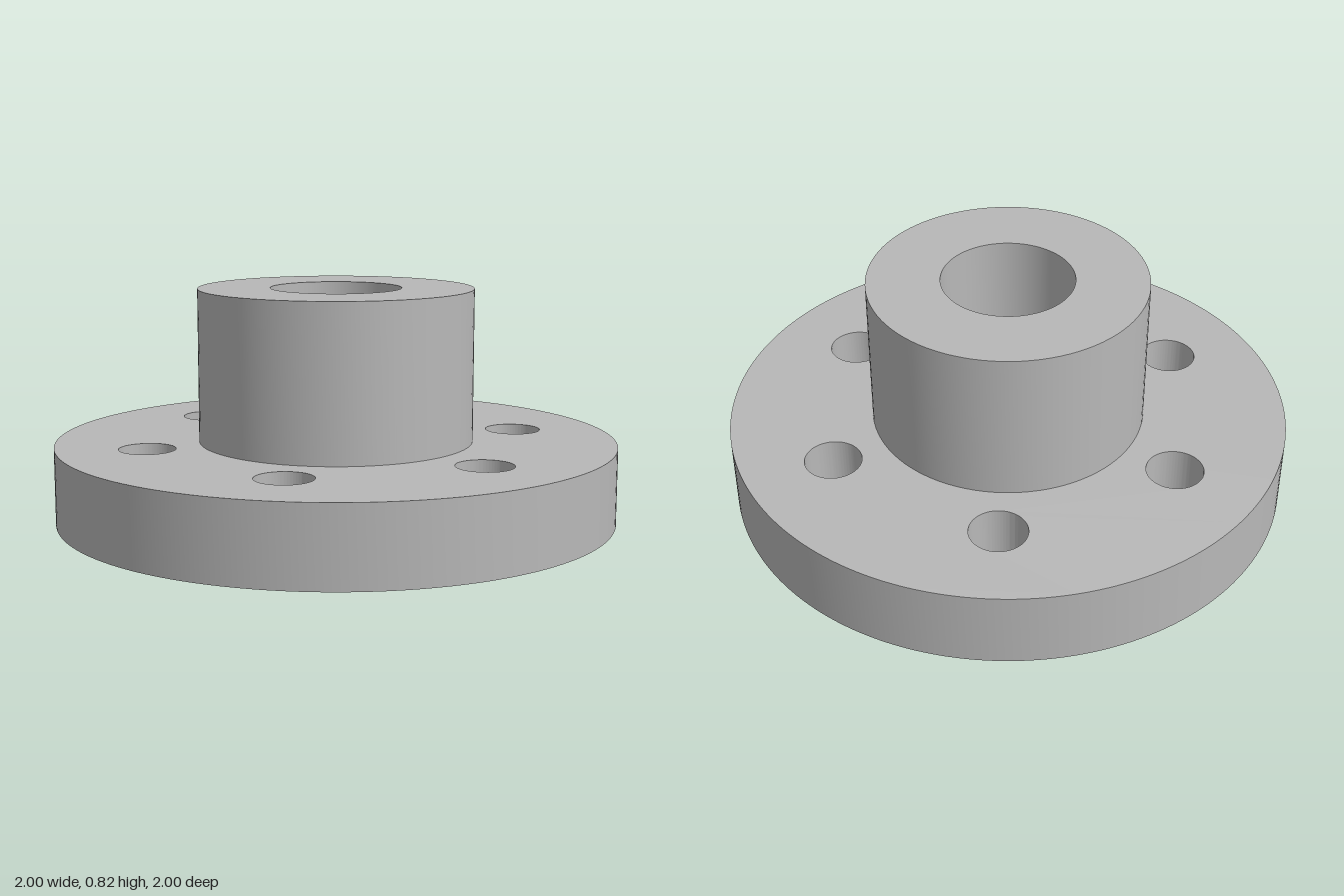
import * as THREE from 'three';
import { toCreasedNormals } from 'three/addons/utils/BufferGeometryUtils.js';

const FLANGE_RADIUS = 1, FLANGE_HEIGHT = 0.275;
const HUB_RADIUS = 0.49, HUB_TOP = 0.82, BORE_RADIUS = 0.233;
const BOLT_COUNT = 6, BOLT_CIRCLE = 0.683, BOLT_RADIUS = 0.1;
const BOLT_START = THREE.MathUtils.degToRad(26);
const SEGMENTS = 96;
const CREASE = Math.PI / 6;

const circle = (Type, x, y, r) => new Type().absarc(x, y, r, 0, Math.PI * 2, false);

export function createModel() {
  const group = new THREE.Group();
  group.name = 'boltedFlange';

  const steel = new THREE.MeshStandardMaterial({ color: 0xb8b8b8 });
  steel.name = 'grey steel';

  // Flange disc with the central bore and a ring of bolt holes
  const disc = circle(THREE.Shape, 0, 0, FLANGE_RADIUS);
  disc.holes.push(circle(THREE.Path, 0, 0, BORE_RADIUS));
  for (let i = 0; i < BOLT_COUNT; i++) {
    const a = BOLT_START + (i / BOLT_COUNT) * Math.PI * 2;
    disc.holes.push(circle(THREE.Path, BOLT_CIRCLE * Math.cos(a), BOLT_CIRCLE * Math.sin(a), BOLT_RADIUS));
  }
  const discGeometry = new THREE.ExtrudeGeometry(disc, {
    depth: FLANGE_HEIGHT, bevelEnabled: false, curveSegments: SEGMENTS,
  });
  discGeometry.rotateX(-Math.PI / 2);
  const flange = new THREE.Mesh(toCreasedNormals(discGeometry, CREASE), steel);
  flange.name = 'flange';
  group.add(flange);

  // Hub sleeve: outer wall, top ring and bore wall
  const profile = [
    [HUB_RADIUS, FLANGE_HEIGHT], [HUB_RADIUS, HUB_TOP],
    [BORE_RADIUS, HUB_TOP], [BORE_RADIUS, FLANGE_HEIGHT],
  ].map(([r, y]) => new THREE.Vector2(r, y));
  const hub = new THREE.Mesh(toCreasedNormals(new THREE.LatheGeometry(profile, SEGMENTS), CREASE), steel);
  hub.name = 'hub';
  group.add(hub);

  return group;
}
